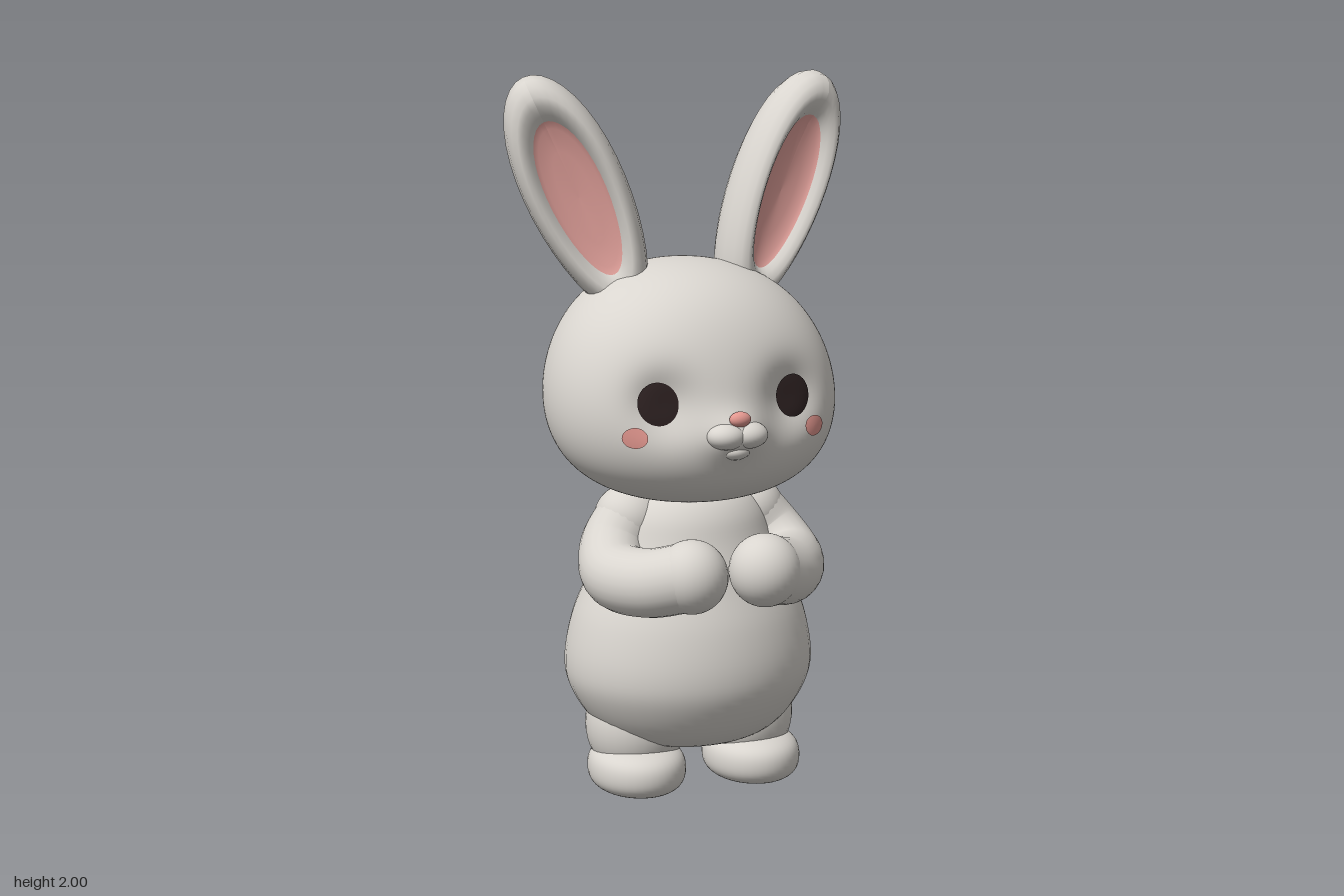
import * as THREE from 'three';

const mat = (name, color) => {
  const m = new THREE.MeshStandardMaterial({ color });
  m.name = name;
  return m;
};

// Unit sphere direction to a head point: wide low cheeks, full chin, eye sockets and a muzzle bump
const EYE = { x: 0.196, y: 1.14 };
const stretch = (Y) => 1.15 - 0.15 * Y * Y;
const headY = (Y) => 1.159 + 0.333 * Y * stretch(Y);
const headWidth = (Y) => 0.411 * (1 - 0.12 * Y);
function headZ(x, y, Y, Z) {
  const depth = Z > 0 ? 0.335 : 0.35;
  let z = 0.08 - 0.05 * Y + depth * Z * (1.1 - 0.1 * Z * Z) * (1 - 0.05 * Y);
  if (Z > 0) {
    const d2 = (Math.abs(x) - EYE.x + 0.015) ** 2 + (y - EYE.y) ** 2;
    z -= 0.052 * Math.exp(-d2 / 0.0075);
    z += 0.046 * Math.exp(-x * x / 0.006 - (y - 1.055) ** 2 / 0.0035);
  }
  return z;
}

// Depth of the face at a given x, y
function faceZ(x, y) {
  let Y = (y - 1.159) / 0.333;
  for (let i = 0; i < 8; i++) Y = (y - 1.159) / 0.333 / stretch(Y);
  const X = x / headWidth(Y);
  return headZ(x, y, Y, Math.sqrt(Math.max(0, 1 - X * X - Y * Y)));
}

// Apply a rule to every vertex
function reshape(geo, rule) {
  const p = geo.attributes.position;
  const v = new THREE.Vector3();
  for (let i = 0; i < p.count; i++) {
    rule(v.fromBufferAttribute(p, i));
    p.setXYZ(i, v.x, v.y, v.z);
  }
  geo.computeVertexNormals();
  return geo;
}

// Thin oval lying on the face, optionally domed
function facePatch(cx, cy, rx, ry, lift, dome) {
  return reshape(new THREE.RingGeometry(0.001, 1, 32, 6), (v) => {
    const r2 = v.x * v.x + v.y * v.y;
    const x = cx + v.x * rx, y = cy + v.y * ry;
    v.set(x, y, faceZ(x, y) + lift + dome * (1 - r2));
  });
}

// Nested ear outlines; each ring is [scale, depth]
function earShell(rings) {
  const N = 40, pos = [], index = [];
  for (const [s, z] of rings) {
    for (let j = 0; j <= N; j++) {
      const a = (j / N) * Math.PI * 2;
      const x = -0.15 * Math.sin(a) * (0.94 + 0.1 * Math.cos(a));
      pos.push(x * s, 0.36 * Math.cos(a) * Math.pow(s, 0.8), z);
    }
  }
  for (let k = 0; k < rings.length - 1; k++) {
    for (let j = 0; j < N; j++) {
      const a = k * (N + 1) + j, b = a + N + 1;
      index.push(a, b, b + 1, a, b + 1, a + 1);
    }
  }
  const g = new THREE.BufferGeometry();
  g.setAttribute('position', new THREE.Float32BufferAttribute(pos, 3));
  g.setIndex(index);
  g.computeVertexNormals();
  return g;
}

// Smooth lathe through a few [radius, height] points
function turned(points, steps) {
  const curve = new THREE.SplineCurve(points.map(([r, y]) => new THREE.Vector2(r, y)));
  return new THREE.LatheGeometry(curve.getPoints(steps).map((p) => p.setX(Math.max(0, p.x))), 48);
}

export function createModel() {
  const fur = mat('fur', 0xd9d5cf);
  const pink = mat('pink', 0xe6a49e);
  const blush = mat('blush', 0xe2978f);
  const dark = mat('eyeDark', 0x2d2121);
  const brown = mat('soleBrown', 0x41322f);

  const model = new THREE.Group();
  model.name = 'rabbit';
  const body = new THREE.Group();
  body.name = 'turnedBody';
  body.rotation.y = THREE.MathUtils.degToRad(70);
  model.add(body);

  const add = (name, geo, material, parent = body) => {
    const m = new THREE.Mesh(geo, material);
    m.name = name;
    parent.add(m);
    return m;
  };
  const ball = (name, material, c, r) => {
    const m = add(name, new THREE.SphereGeometry(1, 32, 24), material);
    m.position.set(...c);
    m.scale.set(...r);
    return m;
  };

  // Head
  add('head', reshape(new THREE.SphereGeometry(1, 128, 96), (v) => {
    const Y = v.y, x = v.x * headWidth(Y), y = headY(Y);
    v.set(x, y, headZ(x, y, Y, v.z));
  }), fur);

  // Chin and nose
  ball('chin', fur, [0, 1.012, 0.412], [0.042, 0.026, 0.042]);
  ball('nose', blush, [0, 1.103, 0.45], [0.03, 0.021, 0.022]);

  // Pear-shaped torso
  const torso = add('torso', turned([[0, 0.12], [0.17, 0.13], [0.27, 0.18], [0.34, 0.28], [0.357, 0.37],
    [0.335, 0.49], [0.29, 0.6], [0.245, 0.71], [0.215, 0.79], [0.17, 0.84], [0.1, 0.87]], 56), fur);
  torso.scale.z = 0.87;
  torso.position.z = 0.075;

  for (const s of [-1, 1]) {
    const side = s > 0 ? 'left' : 'right';

    // Eye, cheek and muzzle half
    add(side + 'Eye', facePatch(s * EYE.x, EYE.y, 0.054, 0.058, 0.004, 0.016), dark);
    add(side + 'Blush', facePatch(s * 0.262, 1.052, 0.032, 0.028, 0.005, 0), blush);
    ball(side + 'MuzzlePuff', fur, [s * 0.032, 1.056, 0.43], [0.054, 0.037, 0.05]);

    // Ear with a recessed pink inside
    const ear = new THREE.Group();
    ear.name = side + 'Ear';
    ear.position.set(s * 0.297, 1.666, 0.01);
    ear.rotation.set(-0.1, s * 0.28, -s * 0.42, 'ZXY');
    body.add(ear);
    add('innerEar', earShell([[0, 0.014], [0.3, 0.017], [0.5, 0.026], [0.57, 0.036]]), pink, ear);
    add('outerEar', earShell([[0.57, 0.036], [0.63, 0.052], [0.72, 0.064], [0.8, 0.065], [0.89, 0.052],
      [0.96, 0.03], [1, -0.005], [0.98, -0.035], [0.91, -0.064], [0.78, -0.09], [0.6, -0.109],
      [0.3, -0.122], [0, -0.125]]), fur, ear);

    // Bent arm ending in a round paw
    const path = new THREE.CatmullRomCurve3([[0.18, 0.775, 0.085], [0.235, 0.705, 0.11], [0.26, 0.645, 0.19],
      [0.205, 0.638, 0.3], [0.115, 0.662, 0.37]].map(([x, y, z]) => new THREE.Vector3(s * x, y, z)));
    add(side + 'Arm', new THREE.TubeGeometry(path, 32, 0.095, 24), fur);
    ball(side + 'Shoulder', fur, [s * 0.18, 0.775, 0.085], [0.1, 0.095, 0.1]);
    ball(side + 'Paw', fur, [s * 0.108, 0.663, 0.373], [0.1, 0.102, 0.1]);

    // Leg, rounded flat-bottomed foot and sole
    ball(side + 'Leg', fur, [s * 0.165, 0.18, 0.085], [0.142, 0.16, 0.148]);
    const foot = add(side + 'Foot', reshape(new THREE.SphereGeometry(1, 40, 32), (v) => {
      const swell = 1 + 0.3 * v.y * v.y;
      v.set(v.x * 0.136 * swell, Math.max(0.004, 0.063 + v.y * 0.076), v.z * 0.166 * swell);
    }), fur);
    foot.position.set(s * 0.175, 0, 0.12);
    const sole = add(side + 'Sole', new THREE.CircleGeometry(1, 40).rotateX(Math.PI / 2), brown);
    sole.scale.set(0.082, 1, 0.106);
    sole.position.set(s * 0.175, 0, 0.12);
  }

  // Drooping trumpet-shaped tail with a pale domed end inside a pink lip
  const droop = (geo) => reshape(geo.rotateX(-Math.PI / 2), (v) => {
    const t = -v.z / 0.28;
    v.y -= 0.108 * Math.pow(Math.max(0, t), 2.5);
  });
  const tail = new THREE.Group();
  tail.name = 'tail';
  tail.position.set(-0.012, 0.42, -0.18);
  body.add(tail);
  add('tailStem', droop(turned([[0.09, 0], [0.094, 0.08], [0.1, 0.16], [0.114, 0.22],
    [0.14, 0.262], [0.15, 0.276], [0.146, 0.284], [0.134, 0.288]], 32)), pink, tail);
  add('tailEnd', droop(turned([[0.134, 0.288], [0.11, 0.296], [0.06, 0.302], [0, 0.304]], 12)), fur, tail);

  return model;
}
